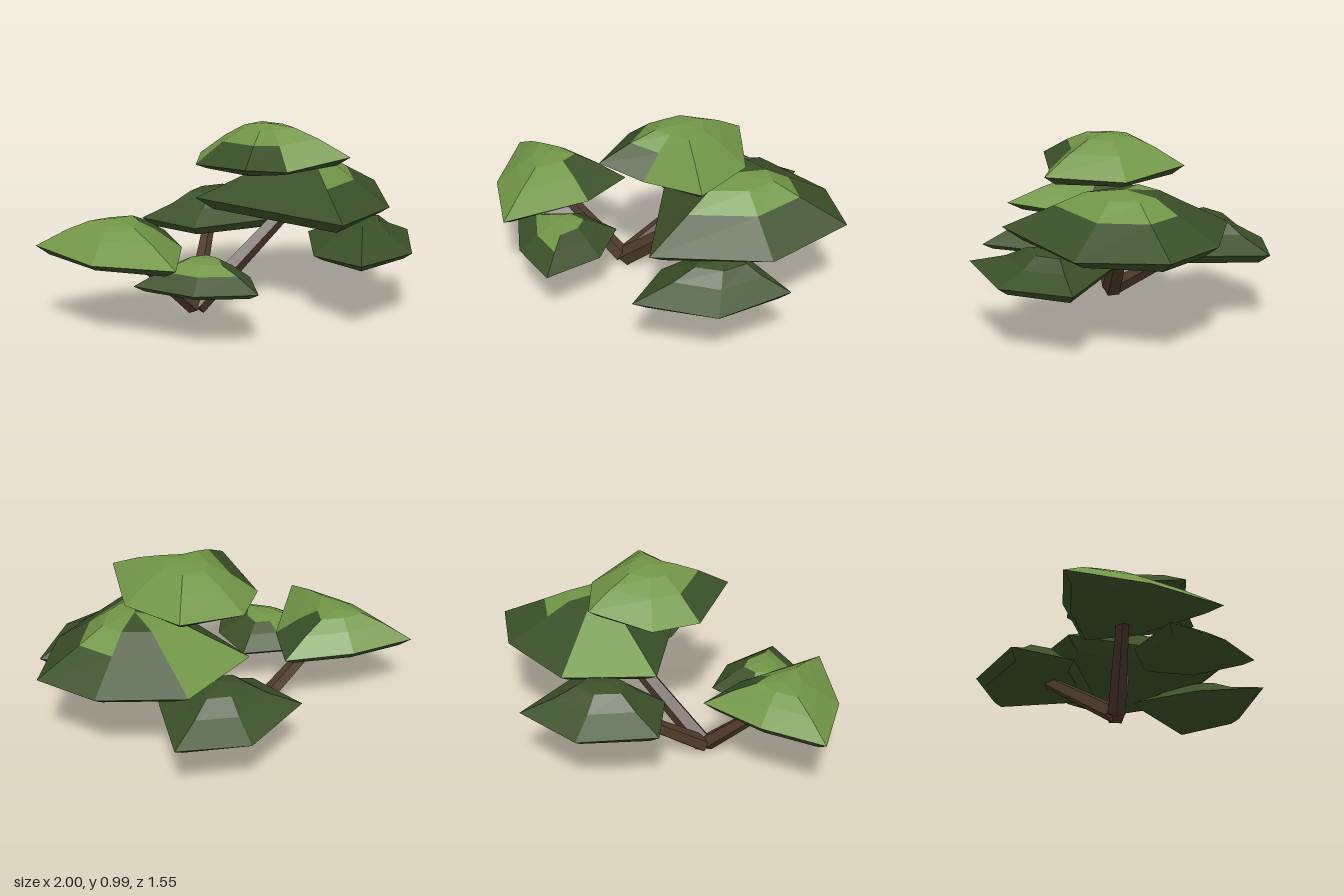
import * as THREE from 'three';

const darkLeaf = new THREE.MeshStandardMaterial({ color: 0x3b5029 });
const lightLeaf = new THREE.MeshStandardMaterial({ color: 0x729647 });
const bark = new THREE.MeshStandardMaterial({ color: 0x4e3a2c });
darkLeaf.name = 'dark leaf green';
lightLeaf.name = 'light leaf green';
bark.name = 'bark brown';

// Faceted leaf pad: rim is [x, z, y] corners running from +x towards +z.
// levels gives, per sector, the first ring (0 = rim, 3 = none) that is light green.
// midInset and midRise place the ring between the rim and the crown.
function leafPad(name, apex, bottomY, rim, levels, midInset = 0.62, midRise = 0.57) {
  const top = new THREE.Vector3(...apex);
  const corners = rim.map(([x, z, y]) => new THREE.Vector3(x, y, z));
  const ring = (inset, rise, endY = top.y) => corners.map(c => new THREE.Vector3(
    top.x + (c.x - top.x) * inset,
    c.y + (endY - c.y) * rise,
    top.z + (c.z - top.z) * inset));
  const rings = [corners, ring(midInset, midRise), ring(0.33, 0.9), ring(0, 1)];
  const under = ring(0.84, 0.5, bottomY);
  const centre = new THREE.Vector3(top.x, bottomY, top.z);
  const dark = [], light = [];
  const tri = (list, ...pts) => pts.forEach(p => list.push(p.x, p.y, p.z));

  corners.forEach((c, i) => {
    const j = (i + 1) % corners.length;
    for (let k = 0; k < 3; k++) {
      const list = k >= levels[i] ? light : dark;
      tri(list, rings[k][i], rings[k + 1][i], rings[k][j]);
      if (k < 2) tri(list, rings[k][j], rings[k + 1][i], rings[k + 1][j]);
    }
    // shallow hanging underside
    tri(dark, under[i], c, under[j]);
    tri(dark, under[j], c, corners[j]);
    tri(dark, centre, under[i], under[j]);
  });

  const geo = new THREE.BufferGeometry();
  geo.setAttribute('position', new THREE.Float32BufferAttribute([...dark, ...light], 3));
  geo.addGroup(0, dark.length / 3, 0);
  geo.addGroup(dark.length / 3, light.length / 3, 1);
  geo.computeVertexNormals();
  const mesh = new THREE.Mesh(geo, [darkLeaf, lightLeaf]);
  mesh.name = name;
  return mesh;
}

// Tapered five-sided limb between two points
function limb(name, from, to, r0, r1) {
  const a = new THREE.Vector3(...from), b = new THREE.Vector3(...to);
  const dir = b.clone().sub(a);
  const geo = new THREE.CylinderGeometry(r1, r0, dir.length(), 5).toNonIndexed();
  geo.computeVertexNormals();
  const mesh = new THREE.Mesh(geo, bark);
  mesh.position.copy(a).add(b).multiplyScalar(0.5);
  mesh.quaternion.setFromUnitVectors(new THREE.Vector3(0, 1, 0), dir.normalize());
  mesh.name = name;
  return mesh;
}

export function createModel() {
  const tree = new THREE.Group();
  tree.name = 'tree';

  // Limbs fanning from one foot
  tree.add(
    limb('mainTrunk', [-0.17, 0.035, 0.08], [0.37, 0.5, -0.05], 0.055, 0.042),
    limb('sideBranch', [-0.18, 0.04, 0.09], [-0.55, 0.41, 0.24], 0.047, 0.032),
    limb('backBranch', [-0.18, 0.04, 0.07], [0.03, 0.38, -0.4], 0.047, 0.033));

  // Leaf pads, highest first
  tree.add(
    leafPad('topLeafPad', [0.22, 0.99, 0.05], 0.745, [
      [0.59, 0.31, 0.84], [0.24, 0.35, 0.79], [0, 0.42, 0.83], [-0.16, 0.05, 0.79],
      [-0.07, -0.2, 0.8], [0.26, -0.34, 0.84], [0.53, -0.08, 0.81],
    ], [0, 1, 1, 0, 0, 0, 0]),
    leafPad('largeLeafPad', [0.48, 0.765, -0.07], 0.425, [
      [0.98, -0.34, 0.55], [0.89, 0.12, 0.51], [0.47, 0.55, 0.55],
      [-0.1, -0.2, 0.55], [0.23, -0.56, 0.55], [0.69, -0.54, 0.55],
    ], [1, 1, 3, 0, 3, 1], 0.57, 0.57),
    leafPad('sideLeafPad', [-0.61, 0.575, 0.2], 0.34, [
      [-0.28, 0.24, 0.41], [-0.42, 0.71, 0.43], [-0.78, 0.45, 0.41],
      [-1, 0.09, 0.43], [-0.67, -0.03, 0.43], [-0.3, -0.06, 0.42],
    ], [0, 0, 0, 0, 0, 2]),
    leafPad('smallLeafPad', [-0.22, 0.41, 0.45], 0.237, [
      [0.02, 0.45, 0.29], [-0.03, 0.77, 0.3], [-0.33, 0.69, 0.29],
      [-0.58, 0.48, 0.3], [-0.34, 0.23, 0.3], [-0.1, 0.21, 0.3],
    ], [2, 1, 1, 1, 2, 2]),
    leafPad('backLeafPad', [0.06, 0.55, -0.42], 0.3, [
      [0.4, -0.22, 0.4], [-0.12, -0.16, 0.39],
      [-0.35, -0.42, 0.4], [-0.07, -0.73, 0.38], [0.31, -0.78, 0.4],
    ], [3, 3, 3, 3, 3], 0.58, 0.48),
    leafPad('lowerLeafPad', [0.69, 0.51, 0.25], 0.29, [
      [1, 0.11, 0.38], [0.87, 0.49, 0.36], [0.51, 0.71, 0.38],
      [0.38, 0.37, 0.35], [0.48, -0.02, 0.37],
    ], [3, 3, 3, 3, 3], 0.56, 0.48));
  return tree;
}
